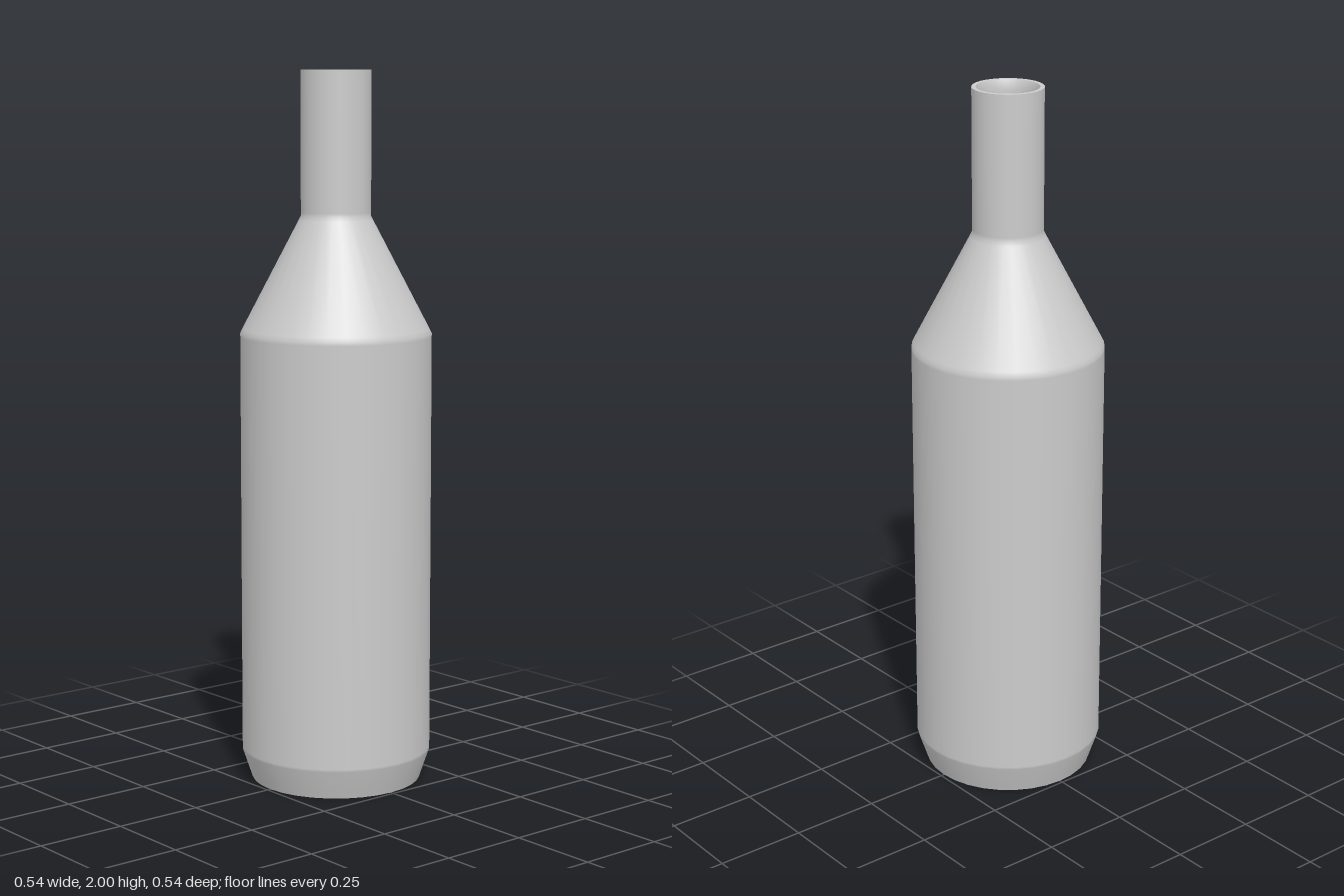
import * as THREE from 'three';

const SIDES = 32;

// Revolves a profile of [radius, height] pairs; profiles run up the outside and down the inside.
function revolve(name, profile, material) {
  const points = profile.map(([r, y]) => new THREE.Vector2(r, y));
  const mesh = new THREE.Mesh(new THREE.LatheGeometry(points, SIDES), material);
  mesh.name = name;
  return mesh;
}

export function createModel() {
  const bottle = new THREE.Group();
  bottle.name = 'bottle';
  const material = new THREE.MeshStandardMaterial({ color: 0xcccccc });

  // Flat underside
  bottle.add(revolve('base', [[0, 0], [0.24, 0]], material));

  // Tapered foot, straight body, conical shoulder and neck; close rings keep the bends tight
  bottle.add(revolve('outerWall', [
    [0.24, 0], [0.246, 0.018], [0.268, 0.083], [0.268, 0.09],
    [0.268, 1.265], [0.268, 1.275], [0.262, 1.287],
    [0.104, 1.588], [0.098, 1.6], [0.098, 1.61], [0.098, 2],
  ], material));

  // Flat lip around the opening
  bottle.add(revolve('rim', [[0.098, 2], [0.086, 2]], material));

  // Hollow interior, narrowing slightly down the neck
  bottle.add(revolve('innerWall', [
    [0.086, 2], [0.075, 1.97], [0.075, 1.605], [0.075, 1.595],
    [0.081, 1.583], [0.24, 1.28], [0.246, 1.268], [0.246, 1.258],
    [0.246, 0.095], [0.246, 0.087], [0.225, 0.025],
  ], material));

  // Inside floor
  bottle.add(revolve('innerFloor', [[0.225, 0.025], [0, 0.025]], material));

  return bottle;
}
